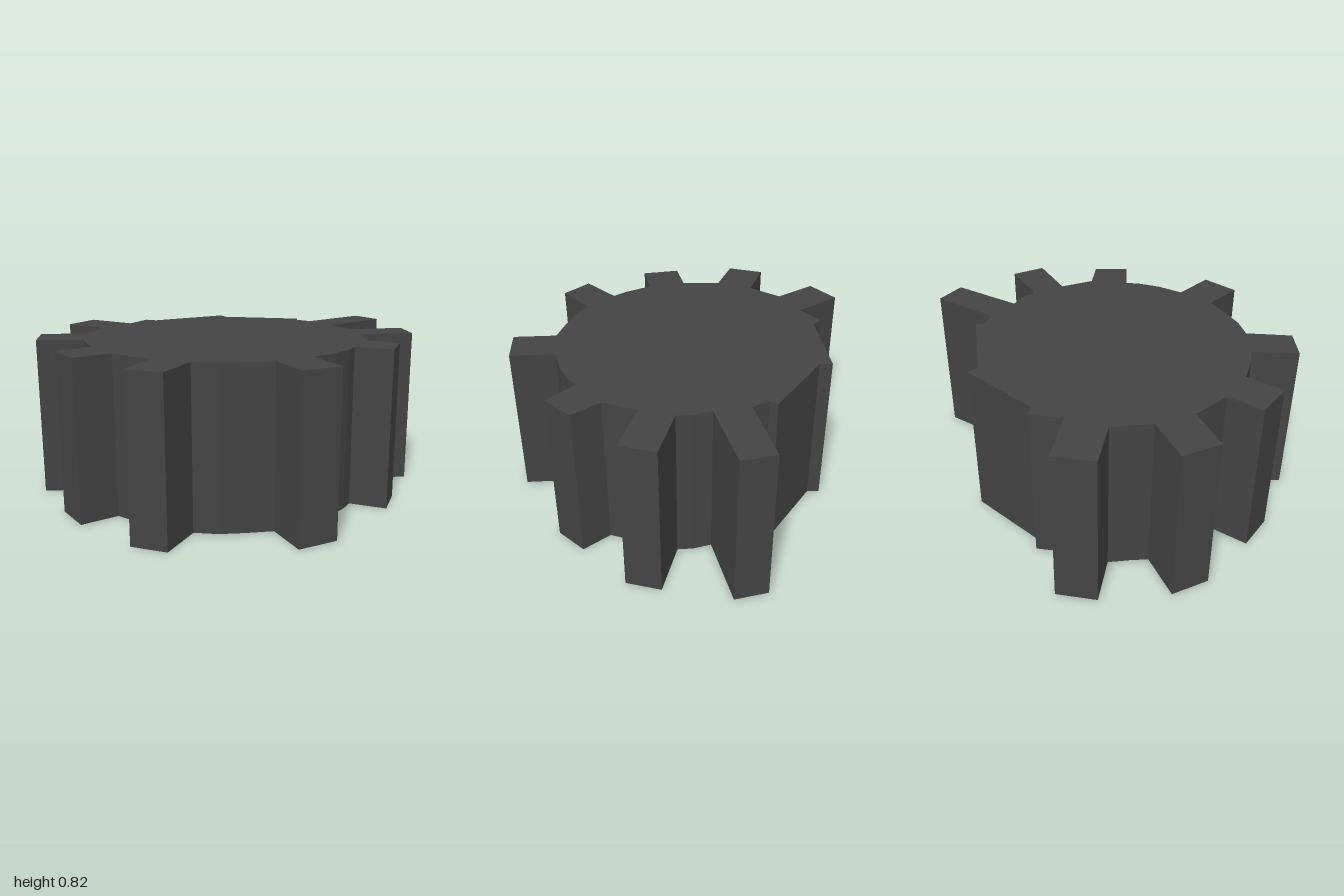
import * as THREE from 'three';

const HEIGHT = 0.82;

// Each tooth: [x, z] of base start, tip start, tip end, base end, running round the rim
const teeth = [
  [[0.61, -0.16], [0.99, -0.175], [1.0, 0.0], [0.61, 0.025]],
  [[0.61, 0.2], [0.87, 0.325], [0.79, 0.49], [0.53, 0.36]],
  [[0.435, 0.52], [0.515, 0.67], [0.365, 0.78], [0.255, 0.62]],
  [[-0.07, 0.7], [-0.1, 0.935], [-0.305, 0.91], [-0.275, 0.685]],
  [[-0.6, 0.485], [-0.805, 0.605], [-0.915, 0.455], [-0.71, 0.325]],
  [[-0.8, 0.1], [-1, 0.1], [-1, -0.105], [-0.81, -0.11]],
  [[-0.765, -0.315], [-0.97, -0.44], [-0.875, -0.615], [-0.66, -0.49]],
  [[-0.51, -0.625], [-0.615, -0.85], [-0.43, -0.94], [-0.325, -0.72]],
];

// Rim points that follow each tooth; the last run is the broken, toothless side
const rims = [
  [[0.62, 0.12]],
  [],
  [[0.19, 0.655], [0.07, 0.69]],
  [[-0.4, 0.625], [-0.51, 0.565]],
  [[-0.75, 0.25]],
  [[-0.79, -0.2]],
  [[-0.65, -0.5], [-0.595, -0.545]],
  [[-0.31, -0.685], [-0.165, -0.76], [-0.13, -0.705], [0.305, -0.66],
    [0.295, -0.595], [0.61, -0.285], [0.58, -0.25]],
];

export function createModel() {
  const group = new THREE.Group();
  group.name = 'brokenGear';

  // Outline of the wheel with its teeth, extruded upwards
  const outline = teeth.flatMap((tooth, i) => [...tooth, ...rims[i]]);
  const shape = new THREE.Shape(outline.map(([x, z]) => new THREE.Vector2(x, -z)));
  const geometry = new THREE.ExtrudeGeometry(shape, { depth: HEIGHT, bevelEnabled: false });
  geometry.rotateX(-Math.PI / 2);

  const gear = new THREE.Mesh(geometry, new THREE.MeshStandardMaterial({ color: 0x444444 }));
  gear.name = 'gearWheel';
  group.add(gear);
  return group;
}
